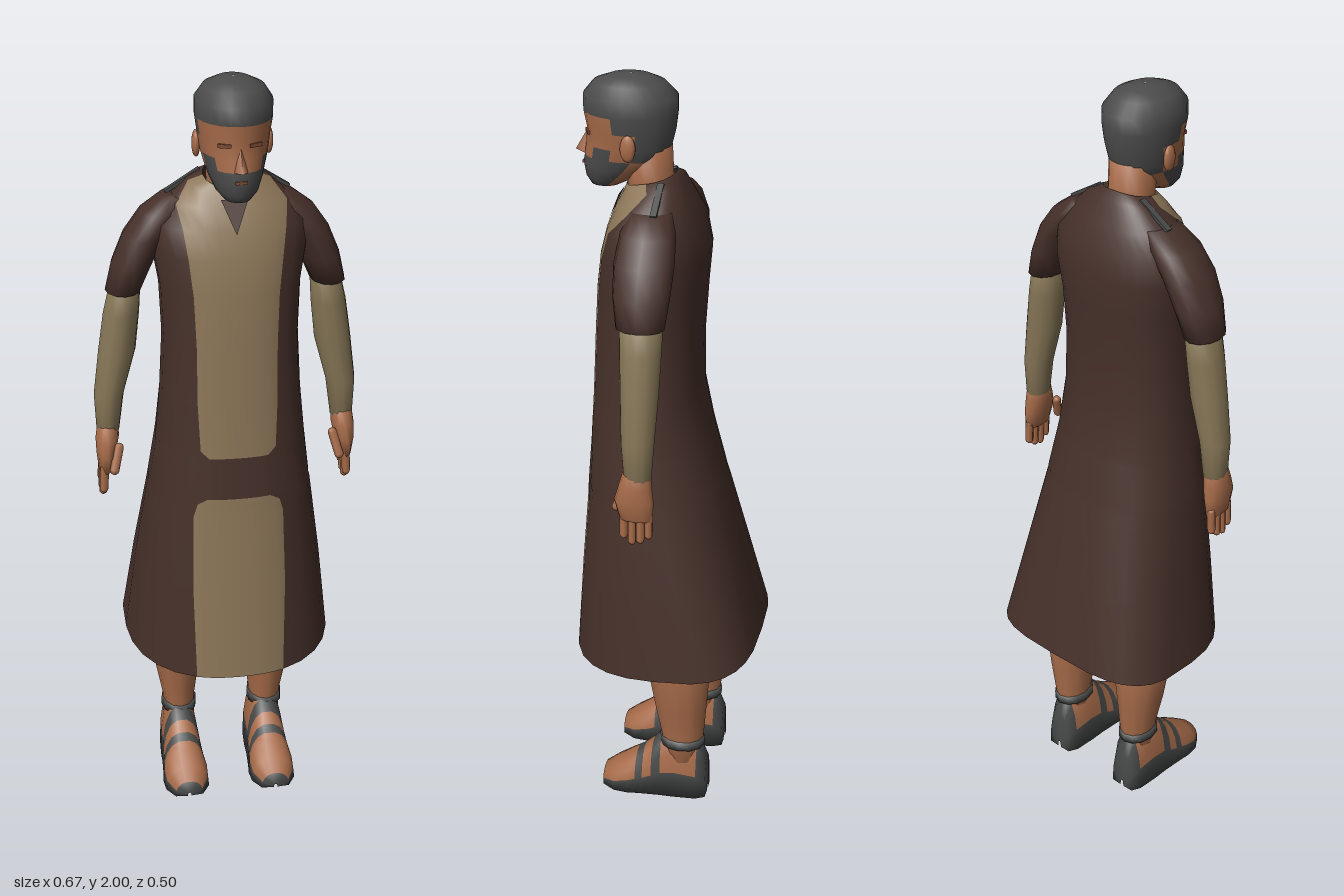
import * as THREE from 'three';

const mat = (name, color, side = THREE.FrontSide) => {
  const m = new THREE.MeshStandardMaterial({ color, side });
  m.name = name;
  return m;
};

const TAU = Math.PI * 2;
const spow = (v, p) => Math.sign(v) * Math.abs(v) ** p;

// Skin stretched over closed rings of points; pick(row, col) chooses the material
function loft(name, rings, mats, pick = () => 0) {
  const n = rings[0].length, pos = rings.flat(2), idx = mats.map(() => []);
  for (let r = 0; r < rings.length - 1; r++) {
    for (let c = 0; c < n; c++) {
      const a = r * n + c, b = r * n + (c + 1) % n;
      idx[pick(r, c)].push(a, b, a + n, b, b + n, a + n);
    }
  }
  const geo = new THREE.BufferGeometry();
  geo.setAttribute('position', new THREE.Float32BufferAttribute(pos, 3));
  let start = 0;
  idx.forEach((list, i) => {
    if (list.length) geo.addGroup(start, list.length, i);
    start += list.length;
  });
  geo.setIndex(idx.flat());
  geo.computeVertexNormals();
  const mesh = new THREE.Mesh(geo, mats);
  mesh.name = name;
  return mesh;
}

// Horizontal oval ring, starting at the front
const oval = (y, cx, cz, rx, rz, n = 12) => Array.from({ length: n }, (_, i) => {
  const t = i / n * TAU;
  return [cx + rx * Math.sin(t), y, cz + rz * Math.cos(t)];
});

// Limb with pinched ends; rows are [y, cx, cz, rx, rz] from bottom to top
function limb(name, rows, side, material) {
  const first = rows[0], last = rows.at(-1);
  const pinch = r => [r[0], r[1], r[2], r[3] * 0.02, r[4] * 0.02];
  const rings = [pinch(first), ...rows, pinch(last)].map(([y, x, z, rx, rz]) => oval(y, side * x + 0.003, z, rx, rz));
  return loft(name, rings, [material]);
}

export function createModel() {
  const model = new THREE.Group();
  const cloth = mat('dark brown cloth', 0x46302a, THREE.DoubleSide);
  const panel = mat('tan panel', 0x8c7658, THREE.DoubleSide);
  const linen = mat('linen sleeve', 0x877757);
  const skin = mat('skin', 0xa86c4a);
  const shade = mat('dark skin', 0x7c4a34);
  const hair = mat('grey hair', 0x4c4c4c);
  const leather = mat('grey leather', 0x474848);

  const add = (name, geo, material, position, rotation = [0, 0, 0], scale = [1, 1, 1]) => {
    const m = new THREE.Mesh(geo, material);
    m.name = name;
    m.position.set(...position);
    m.rotation.set(...rotation);
    m.scale.set(...scale);
    model.add(m);
  };

  // Robe: [y, half width, side z, front z, back z, panel half width]
  const robeRows = [
    [0.44, 0.275, -0.03, 0.25, -0.25, 0.115],
    [0.7, 0.245, 0, 0.232, -0.2, 0.12],
    [0.9, 0.215, 0.03, 0.215, -0.15, 0.115],
    [0.935, 0.21, 0.035, 0.213, -0.14, 0.105],
    [0.95, 0.208, 0.035, 0.212, -0.137, 0.08],
    [1.06, 0.193, 0.05, 0.203, -0.11, 0.075],
    [1.08, 0.19, 0.05, 0.202, -0.105, 0.095],
    [1.2, 0.178, 0.05, 0.195, -0.08, 0.1],
    [1.35, 0.17, 0.05, 0.188, -0.08, 0.1],
    [1.48, 0.175, 0.045, 0.18, -0.088, 0.105],
    [1.57, 0.19, 0.04, 0.168, -0.095, 0.115],
    [1.64, 0.19, 0.035, 0.15, -0.08, 0.125],
    [1.69, 0.15, 0.03, 0.13, -0.055, 0.135],
    [1.72, 0.1, 0.04, 0.115, -0.03, 0.14],
    [1.735, 0.065, 0.05, 0.11, -0.01, 0.14],
  ];
  const FRONT = 8, REST = 24, P = 0.85;
  const robeRings = robeRows.map(([y, rx, zc, zf, zb, w]) => {
    const edge = Math.asin(Math.min(1, w / rx) ** (1 / P));
    const backP = y < 1 ? 0.6 + (y - 0.44) * 0.45 : P;
    const lift = y < 0.5 ? 0.05 : y > 1.7 ? 0.03 : 0;
    return Array.from({ length: FRONT + REST }, (_, i) => {
      const t = i < FRONT ? edge * (2 * i / FRONT - 1) : edge + (TAU - 2 * edge) * (i - FRONT) / REST;
      const s = Math.sin(t), c = Math.cos(t), p = c > 0 ? P : backP;
      const depth = c > 0 ? zf - zc : zc - zb;
      return [0.008 + rx * spow(s, p), y + lift * (1 - c) / 2, zc + depth * spow(c, p)];
    });
  });
  model.add(loft('robe', robeRings, [cloth, panel], (r, c) => (c < FRONT && r !== 4 ? 1 : 0)));

  // Neck opening
  const vee = new THREE.Shape([[-0.033, 0.075], [0, -0.01], [0.033, 0.075]].map(p => new THREE.Vector2(...p)));
  add('neckOpening', new THREE.ShapeGeometry(vee), cloth, [0.008, 1.64, 0.155], [-0.41, 0, 0]);

  // Neck
  model.add(limb('neck', [[1.66, 0.005, 0.045, 0.065, 0.06], [1.74, 0.005, 0.052, 0.058, 0.058], [1.83, 0.005, 0.06, 0.06, 0.062]], 1, skin));

  // Head: [y, half width, front z, back z]
  const headRows = [
    [1.724, 0.004, 0.18, 0.15], [1.725, 0.03, 0.2, 0.13], [1.745, 0.05, 0.212, 0.09],
    [1.775, 0.064, 0.217, 0.04], [1.8, 0.072, 0.215, 0.01], [1.83, 0.08, 0.21, 0],
    [1.87, 0.086, 0.207, -0.01], [1.91, 0.092, 0.215, -0.015], [1.95, 0.092, 0.215, -0.015],
    [1.98, 0.072, 0.19, 0.015], [1.995, 0.04, 0.15, 0.05], [2, 0.003, 0.103, 0.097],
  ];
  const headRings = headRows.map(([y, rx, f, b]) => oval(y, 0.008, (f + b) / 2, rx, (f - b) / 2, 24));
  model.add(loft('head', headRings, [skin, hair], (r, c) => {
    const a = Math.abs(((c + 0.5) * 15 + 180) % 360 - 180);
    if (r >= 7) return 1;
    if (r < 4) return a < 100 ? 1 : 0;
    if (r === 4) return a > 105 || (a > 45 && a < 80) ? 1 : 0;
    return a > (r === 6 ? 75 : 105) ? 1 : 0;
  }));
  add('nose', new THREE.ConeGeometry(0.02, 0.065, 4), skin, [0.008, 1.833, 0.208], [-0.15, 0, 0], [0.8, 1, 1.3]);
  add('lips', new THREE.BoxGeometry(0.028, 0.007, 0.006), shade, [0.008, 1.778, 0.216]);

  // Foot sections: [z, half width, height]
  const footRows = [
    [-0.126, 0.005, 0.02], [-0.125, 0.035, 0.12], [-0.1, 0.048, 0.18], [-0.04, 0.053, 0.2],
    [0, 0.054, 0.185], [0.025, 0.056, 0.155], [0.05, 0.058, 0.13], [0.07, 0.06, 0.115],
    [0.09, 0.063, 0.1], [0.13, 0.06, 0.07], [0.165, 0.038, 0.045], [0.168, 0.005, 0.01],
  ];

  for (const s of [1, -1]) {
    const side = s > 0 ? 'left' : 'right';

    // Face details and shoulder trim
    add(side + 'Eye', new THREE.BoxGeometry(0.032, 0.009, 0.006), shade, [0.008 + s * 0.036, 1.862, 0.198], [0, s * 0.4, 0]);
    add(side + 'Ear', new THREE.SphereGeometry(0.03, 10, 8), skin, [0.008 + s * 0.087, 1.84, 0.088], [0, 0, 0], [0.35, 1.1, 0.65]);
    add(side + 'ShoulderTrim', new THREE.BoxGeometry(0.1, 0.008, 0.016), leather, [0.008 + s * 0.11, 1.727, 0.012], [0, 0, -s * 0.56]);

    // Arm
    model.add(limb(side + 'ShortSleeve', [
      [1.46, 0.257, 0.022, 0.044, 0.06], [1.53, 0.234, 0.024, 0.051, 0.07], [1.6, 0.202, 0.024, 0.054, 0.074],
      [1.66, 0.157, 0.024, 0.057, 0.068], [1.7, 0.12, 0.024, 0.04, 0.05]], s, cloth));
    model.add(limb(side + 'ForearmSleeve', [
      [1.08, 0.304, 0.02, 0.029, 0.035], [1.18, 0.299, 0.02, 0.038, 0.042], [1.3, 0.275, 0.02, 0.047, 0.048],
      [1.4, 0.262, 0.02, 0.045, 0.052], [1.48, 0.25, 0.02, 0.038, 0.054]], s, linen));

    // Hand
    model.add(limb(side + 'Palm', [
      [0.97, 0.314, 0.022, 0.017, 0.042], [1.02, 0.311, 0.028, 0.025, 0.05],
      [1.06, 0.307, 0.025, 0.03, 0.042], [1.11, 0.303, 0.02, 0.026, 0.032]], s, skin));
    for (let i = 0; i < 4; i++) {
      const length = [0.055, 0.07, 0.075, 0.06][i];
      add(side + 'Finger', new THREE.CapsuleGeometry(0.011, length, 3, 6), skin, [s * 0.317, 0.985 - length / 2, -0.01 + i * 0.021], [0, 0, s * 0.05]);
    }
    add(side + 'Thumb', new THREE.CapsuleGeometry(0.012, 0.06, 3, 6), skin, [s * 0.285, 1.015, 0.068], [-0.35, 0, s * 0.25]);

    // Leg and ankle strap
    model.add(limb(side + 'Leg', [
      [0.12, 0.122, -0.055, 0.043, 0.05], [0.2, 0.122, -0.055, 0.044, 0.06], [0.3, 0.125, -0.05, 0.06, 0.073],
      [0.4, 0.125, -0.045, 0.073, 0.085], [0.6, 0.115, -0.02, 0.082, 0.09], [0.9, 0.1, 0.04, 0.08, 0.09]], s, skin));
    model.add(limb(side + 'AnkleStrap', [[0.165, 0.122, -0.055, 0.049, 0.062], [0.19, 0.122, -0.055, 0.048, 0.063]], s, leather));

    // Sandalled foot: sole, heel and two straps in leather
    const footRings = footRows.map(([z, w, h]) => Array.from({ length: 10 }, (_, i) => {
      const t = i / 9 * Math.PI;
      return [s * 0.121 + w * spow(Math.cos(t), 0.8), 0.005 + h * Math.sin(t) ** 0.85, z];
    }));
    model.add(loft(side + 'Sandal', footRings, [skin, leather], (r, c) =>
      (c === 0 || c >= 8 || r < 2 || r === 4 || r === 6 || r === 10 ? 1 : 0)));
  }
  return model;
}
